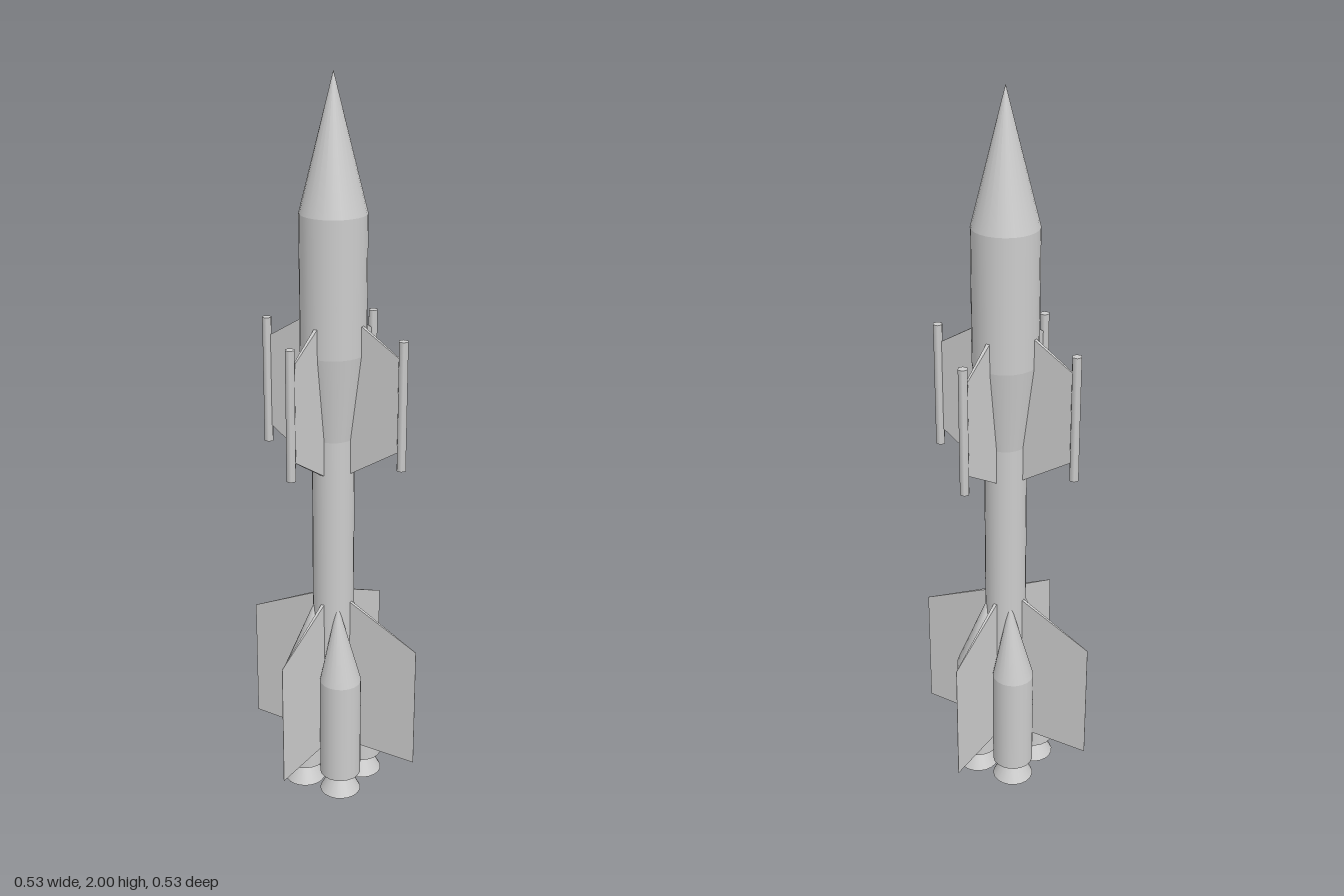
import * as THREE from 'three';

const material = new THREE.MeshStandardMaterial({ color: 0xcccccc });

function add(parent, name, geometry, x = 0, y = 0, z = 0) {
  const mesh = new THREE.Mesh(geometry, material);
  mesh.name = name;
  mesh.position.set(x, y, z);
  parent.add(mesh);
  return mesh;
}

// Round section between two heights; a zero top radius makes a cone
function section(parent, name, rBottom, rTop, y0, y1, sides, x = 0, z = 0, open = true) {
  const geometry = new THREE.CylinderGeometry(rTop, rBottom, y1 - y0, sides, 1, open);
  return add(parent, name, geometry, x, (y0 + y1) / 2, z);
}

// Flat fin reaching out along +x, thinning from root to tip
function finGeometry(root, tip) {
  const geometry = new THREE.BoxGeometry(1, 1, 1).toNonIndexed();
  const p = geometry.attributes.position;
  const mix = THREE.MathUtils.lerp;
  for (let i = 0; i < p.count; i++) {
    const s = p.getX(i) + 0.5;
    const end = p.getY(i) > 0 ? 'top' : 'bottom';
    p.setXYZ(i, mix(root.x, tip.x, s), mix(root[end], tip[end], s),
      p.getZ(i) * mix(root.thick, tip.thick, s));
  }
  geometry.computeVertexNormals();
  return geometry;
}

export function createModel() {
  const model = new THREE.Group();
  model.name = 'rocket';

  // Main body
  const body = new THREE.Group();
  body.name = 'body';
  model.add(body);
  section(body, 'noseCone', 0.0875, 0, 1.655, 2, 24);
  section(body, 'upperStage', 0.0875, 0.0875, 1.295, 1.655, 24);
  section(body, 'taper', 0.057, 0.0875, 1.06, 1.295, 24);
  section(body, 'core', 0.057, 0.057, 0.06, 1.06, 24, 0, 0, false);

  const upperFin = finGeometry(
    { x: 0.05, bottom: 0.96, top: 1.398, thick: 0.012 },
    { x: 0.203, bottom: 1.057, top: 1.303, thick: 0.004 });
  const lowerFin = finGeometry(
    { x: 0.04, bottom: 0.122, top: 0.585, thick: 0.01 },
    { x: 0.263, bottom: 0.122, top: 0.477, thick: 0.001 });

  for (let i = 0; i < 4; i++) {
    // Fins on the axes, with a slim pod at each upper fin tip
    const angle = i * Math.PI / 2;
    add(model, 'upperFin', upperFin).rotation.y = angle;
    add(model, 'lowerFin', lowerFin).rotation.y = angle;
    const pod = section(model, 'finPod', 0.0135, 0.0135, 1.005, 1.355, 6,
      0.206 * Math.cos(angle), 0.206 * Math.sin(angle), false);
    pod.rotation.y = Math.PI / 6;

    // Boosters on the diagonals, with nose cones leaning into the core
    const sx = i % 2 ? -1 : 1;
    const sz = i < 2 ? 1 : -1;
    const booster = new THREE.Group();
    booster.name = 'booster';
    booster.position.set(0.0595 * sx, 0, 0.0595 * sz);
    model.add(booster);
    section(booster, 'boosterTank', 0.0575, 0.0575, 0.06, 0.36, 20, 0, 0, false);
    section(booster, 'boosterNozzle', 0.0575, 0.027, 0, 0.06, 20, 0, 0, false);
    const nose = section(booster, 'boosterNose', 0.0575, 0, 0.36, 0.58, 20);
    const p = nose.geometry.attributes.position;
    for (let v = 0; v < p.count; v++) {
      const lean = 0.025 * (p.getY(v) / 0.22 + 0.5);
      p.setX(v, p.getX(v) - lean * sx);
      p.setZ(v, p.getZ(v) - lean * sz);
    }
    nose.geometry.computeBoundingSphere();
  }

  return model;
}
